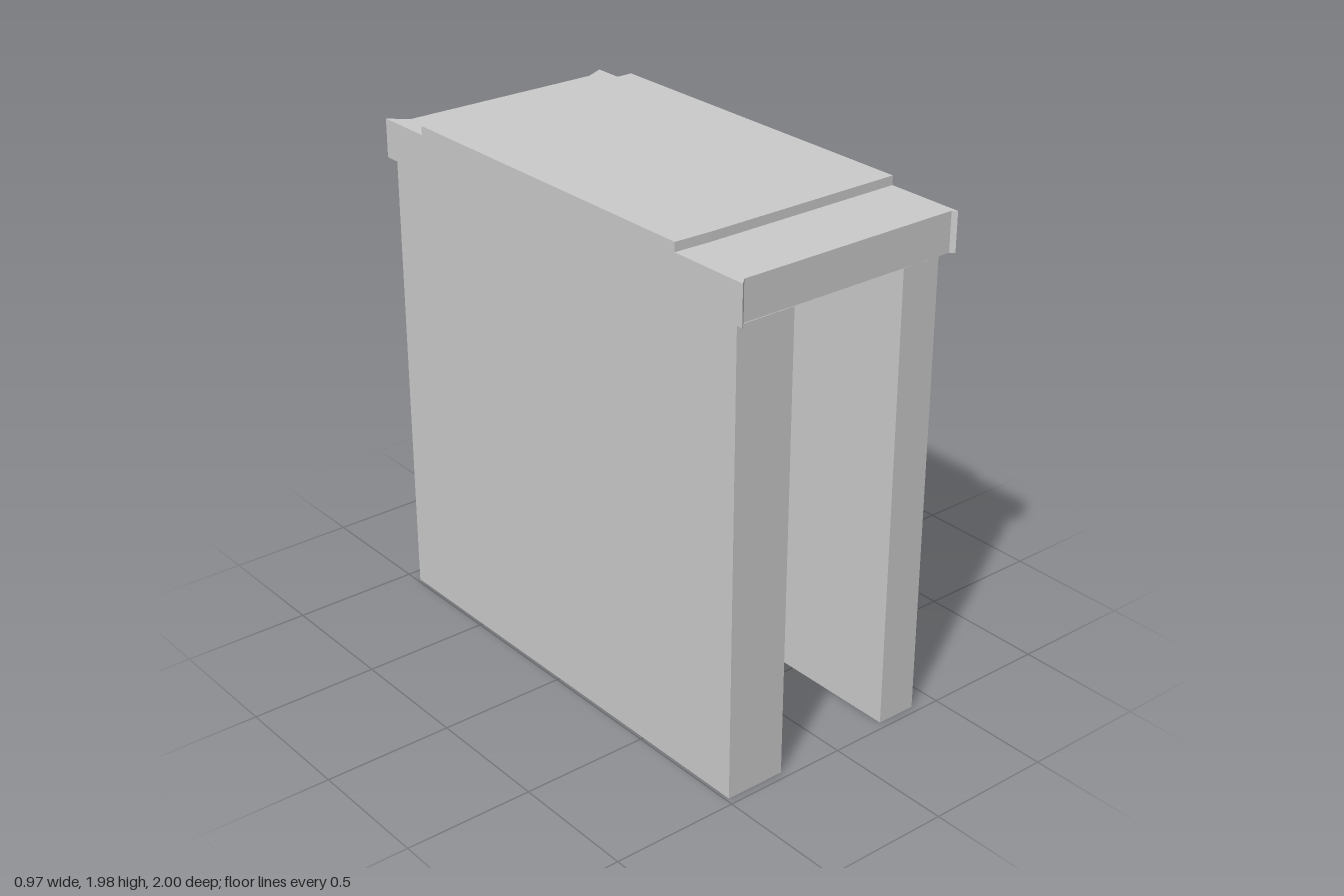
import * as THREE from 'three';

const material = new THREE.MeshStandardMaterial({ color: 0xcccccc, flatShading: true });

// Upright prism from a plan outline of [x, z] corners, between two heights
function prism(name, plan, bottom, top) {
  const shape = new THREE.Shape(plan.map(([x, z]) => new THREE.Vector2(x, -z)));
  const geometry = new THREE.ExtrudeGeometry(shape, { depth: top - bottom, bevelEnabled: false });
  geometry.rotateX(-Math.PI / 2).translate(0, bottom, 0);
  const mesh = new THREE.Mesh(geometry, material);
  mesh.name = name;
  return mesh;
}

export function createModel() {
  const group = new THREE.Group();
  group.name = 'archway';

  const underside = 1.79, slabTop = 1.94, plateTop = 1.975;

  // Right wall: straight block
  group.add(prism('rightWall', [
    [-0.487, 0.97], [-0.245, 0.97], [-0.245, -0.935], [-0.487, -0.938],
  ], 0, underside));

  // Left wall: thinner at the front, flared at the back corner
  group.add(prism('leftWall', [
    [0.24, 0.97], [0.402, 0.97], [0.478, -0.69], [0.482, -0.965], [0.402, -0.927], [0.24, -0.93],
  ], 0, underside));

  // Roof slab with small pointed lips at its corners
  group.add(prism('roofSlab', [
    [-0.487, 0.995], [-0.457, 0.967], [0.452, 0.97], [0.467, 0.985],
    [0.478, -0.69], [0.482, -0.965], [0.402, -0.927], [-0.422, -0.937], [-0.487, -1.0],
  ], underside, slabTop));

  // Raised plate on the roof
  group.add(prism('roofPlate', [
    [-0.487, 0.667], [-0.34, 0.673], [0.469, 0.675], [0.479, -0.763], [-0.487, -0.763],
  ], slabTop, plateTop));

  return group;
}
